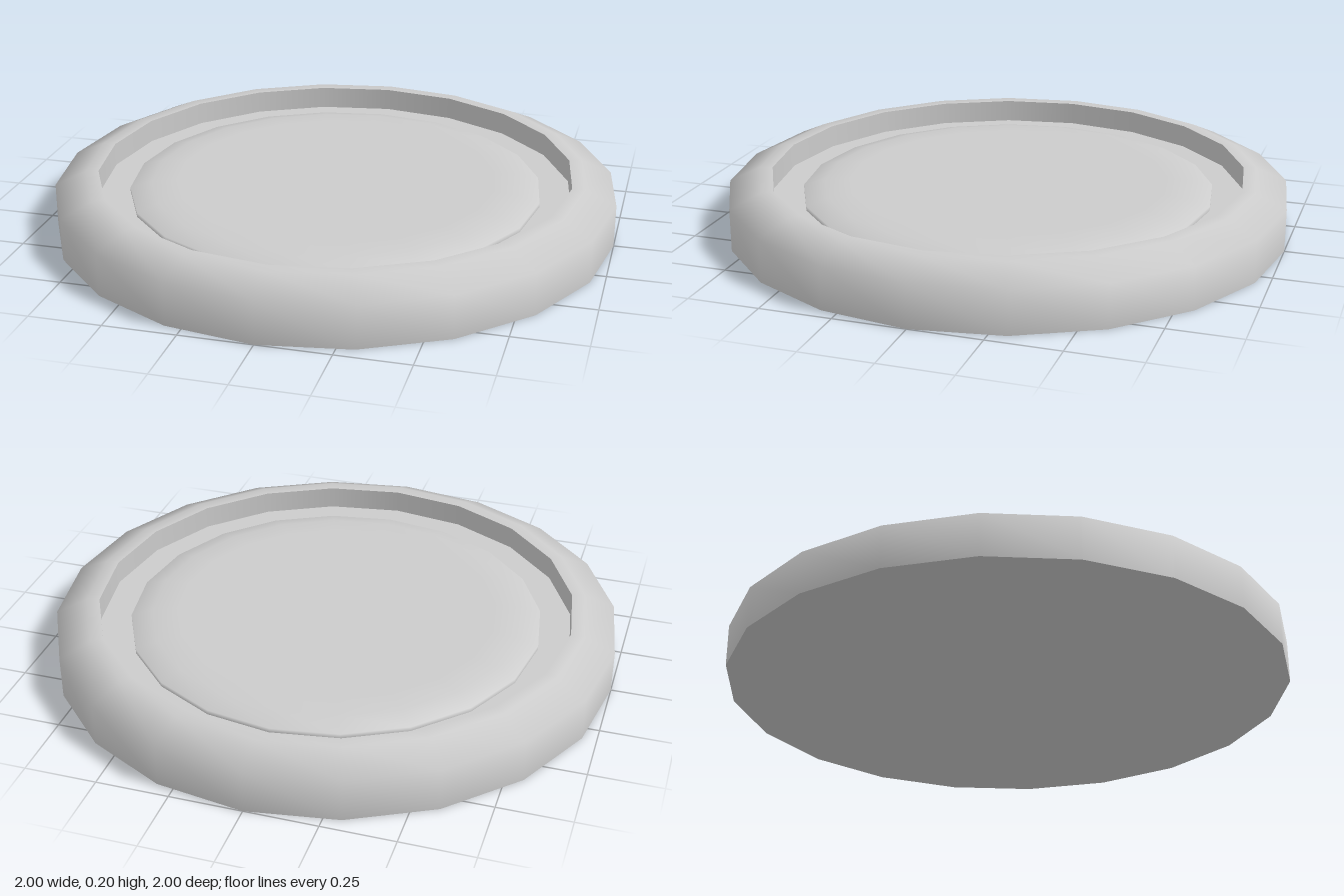
import * as THREE from 'three';

const SIDES = 20;

export function createModel() {
  const group = new THREE.Group();
  const material = new THREE.MeshStandardMaterial({ color: 0xcccccc });

  // One smooth band turned around y; separate bands meet at sharp edges.
  const addBand = (name, profile) => {
    const points = profile.map(([r, y]) => new THREE.Vector2(r, y));
    const mesh = new THREE.Mesh(new THREE.LatheGeometry(points, SIDES), material);
    mesh.name = name;
    group.add(mesh);
  };

  // Flat underside
  addBand('base', [[0, 0], [1, 0]]);
  // Outer wall, bevel and flat lip
  addBand('outerRim', [[1, 0], [1, 0.15], [0.89, 0.2], [0.845, 0.2]]);
  // Inside of the rim and the ledge at its foot
  addBand('innerWall', [[0.845, 0.2], [0.845, 0.118]]);
  addBand('ledge', [[0.845, 0.118], [0.735, 0.118]]);
  // Softly raised centre plate
  addBand('centrePlate', [[0.735, 0.118], [0.735, 0.134], [0.66, 0.154], [0.57, 0.16], [0, 0.16]]);

  return group;
}
